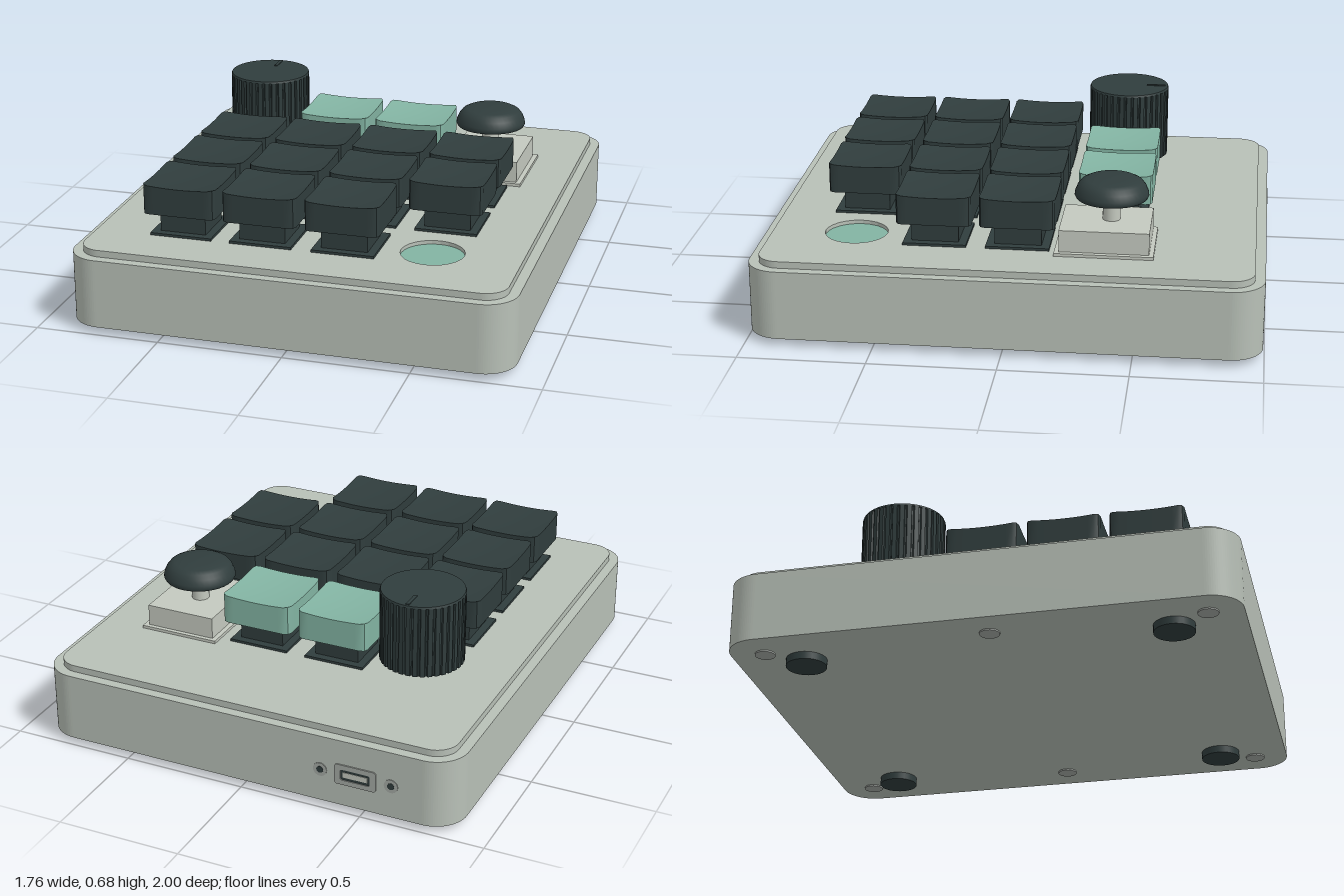
import * as THREE from 'three';

const material = (name, color, extra = {}) => Object.assign(new THREE.MeshStandardMaterial({ color, ...extra }), { name });

// Rounded rectangle centred on the origin
function roundedRect(w, h, r, Type = THREE.Shape) {
  const s = new Type();
  const x = w / 2 - r, y = h / 2 - r, q = Math.PI / 2;
  s.absarc(x, y, r, 0, q);
  s.absarc(-x, y, r, q, 2 * q);
  s.absarc(-x, -y, r, 2 * q, 3 * q);
  s.absarc(x, -y, r, 3 * q, 4 * q);
  s.closePath();
  return s;
}

// Extrudes a plan shape upward from y0 to y1
function slab(shape, y0, y1) {
  const g = new THREE.ExtrudeGeometry(shape, { depth: y1 - y0, bevelEnabled: false, curveSegments: 12 });
  return g.rotateX(-Math.PI / 2).translate(0, y0, 0);
}

// Key cap: a box with clipped plan corners and a shallow dished top
function keyCapGeometry(size, height) {
  const g = new THREE.BoxGeometry(size, height, size, 12, 1, 12);
  const p = g.attributes.position, h = size / 2, r = 0.025, dip = 0.016;
  for (let i = 0; i < p.count; i++) {
    let x = p.getX(i), z = p.getZ(i);
    if (p.getY(i) > 0) p.setY(i, height / 2 - dip * (1 - (x * x + z * z) / (2 * h * h)));
    const cx = Math.abs(x) - (h - r), cz = Math.abs(z) - (h - r);
    if (cx > 0.001 && cz > 0.001) {
      const k = r / Math.hypot(cx, cz);
      x = Math.sign(x) * (h - r + cx * k);
      z = Math.sign(z) * (h - r + cz * k);
    }
    p.setX(i, x);
    p.setZ(i, z);
  }
  g.computeVertexNormals();
  return g;
}

export function createModel() {
  const model = new THREE.Group();
  model.name = 'macroPad';

  const shell = material('shell grey', 0xb8c0b7);
  const dark = material('dark slate', 0x303d3d);
  const mint = material('mint', 0x83b4a3);
  const pale = material('pale grey', 0xc4c9bf);
  const metal = material('metal grey', 0xa5aaa5);

  const add = (name, geometry, mat, x = 0, y = 0, z = 0, parent = model) => {
    const mesh = new THREE.Mesh(geometry, mat);
    mesh.name = name;
    mesh.position.set(x, y, z);
    parent.add(mesh);
    return mesh;
  };

  const cols = [-0.49, -0.165, 0.165, 0.49];
  const rows = [-0.39, -0.033, 0.293, 0.622];

  // Case body and inset top plate with a round opening
  add('caseBody', slab(roundedRect(1.76, 1.99, 0.13), 0.03, 0.308), shell);
  const plate = roundedRect(1.68, 1.91, 0.09);
  plate.holes.push(new THREE.Path().absarc(cols[3], -rows[3], 0.125, 0, Math.PI * 2, true));
  add('topPlate', slab(plate, 0.308, 0.335), shell);
  add('roundTouchButton', new THREE.CylinderGeometry(0.125, 0.125, 0.012, 40), mint, cols[3], 0.314, rows[3]);

  // Keys on their switches
  const cap = keyCapGeometry(0.295, 0.12);
  const flange = new THREE.BoxGeometry(0.25, 0.01, 0.25);
  const housing = new THREE.BoxGeometry(0.185, 0.095, 0.185);
  rows.forEach((z, r) => cols.forEach((x, c) => {
    const edge = c === 0 || c === 3;
    if ((r === 0 && edge) || (r === 3 && c === 3)) return;
    const key = new THREE.Group();
    key.name = 'key';
    key.position.set(x, 0, z);
    model.add(key);
    add('switchFlange', flange, dark, 0, 0.34, 0, key);
    add('switchHousing', housing, dark, 0, 0.385, 0, key);
    add('keyCap', cap, r === 0 ? mint : dark, 0, 0.49, 0, key);
  }));

  // Ribbed rotary knob on a shaft, with a pointer mark
  const rim = [];
  const ribs = 36;
  for (let i = 0; i < ribs; i++) {
    for (const [t, radius] of [[0, 0.168], [0.6, 0.168], [0.7, 0.161], [0.9, 0.161]]) {
      const a = (i + t) / ribs * Math.PI * 2;
      rim.push(new THREE.Vector2(Math.cos(a) * radius, Math.sin(a) * radius));
    }
  }
  const knob = new THREE.Group();
  knob.name = 'knob';
  knob.position.set(cols[0], 0, rows[0]);
  model.add(knob);
  add('knobGrip', slab(new THREE.Shape(rim), 0.38, 0.672), dark, 0, 0, 0, knob);
  add('knobTop', new THREE.CylinderGeometry(0.165, 0.168, 0.008, 48), dark, 0, 0.676, 0, knob);
  add('knobPointer', new THREE.BoxGeometry(0.014, 0.004, 0.08), dark, 0, 0.681, -0.115, knob);
  add('knobShaft', new THREE.CylinderGeometry(0.06, 0.06, 0.06, 24), dark, 0, 0.36, 0, knob);

  // Thumb stick
  const stick = new THREE.Group();
  stick.name = 'thumbStick';
  stick.position.set(cols[3], 0, 0);
  model.add(stick);
  add('stickFlange', new THREE.BoxGeometry(0.33, 0.012, 0.385), pale, 0.01, 0.341, -0.372, stick);
  add('stickHousing', new THREE.BoxGeometry(0.29, 0.095, 0.35), pale, 0.01, 0.387, -0.372, stick);
  add('stickPost', new THREE.CylinderGeometry(0.035, 0.035, 0.1, 24), pale, 0, 0.48, rows[0], stick);
  const profile = [[0, 0.523], [0.125, 0.523], [0.14, 0.527], [0.145, 0.537], [0.143, 0.55],
    [0.134, 0.572], [0.12, 0.589], [0.1, 0.599], [0.06, 0.604], [0, 0.606]];
  const dome = new THREE.LatheGeometry(profile.map(([x, y]) => new THREE.Vector2(x, y)), 40);
  add('stickCap', dome, dark, 0, 0, rows[0], stick);

  // Rubber feet and underside screws
  const foot = new THREE.CylinderGeometry(0.08, 0.08, 0.032, 32);
  const screw = new THREE.CylinderGeometry(0.04, 0.04, 0.01, 24);
  for (const side of [-1, 1]) {
    for (const z of [-0.72, 0.72]) add('foot', foot, dark, side * 0.655, 0.016, z);
    for (const z of [-0.86, 0.03, 0.86]) add('screw', screw, metal, side * 0.74, 0.029, z);
  }

  // Rear connector: framed socket flanked by two small fasteners
  const frame = roundedRect(0.17, 0.085, 0.012);
  frame.holes.push(roundedRect(0.12, 0.045, 0.008, THREE.Path));
  const frameGeometry = new THREE.ExtrudeGeometry(frame, { depth: 0.006, bevelEnabled: false });
  add('portFrame', frameGeometry, metal, -0.48, 0.165, -1.0);
  add('portOpening', new THREE.BoxGeometry(0.12, 0.045, 0.003), dark, -0.48, 0.165, -0.995);
  add('portTongue', new THREE.BoxGeometry(0.1, 0.022, 0.003), pale, -0.48, 0.165, -0.997);
  const fastener = new THREE.CylinderGeometry(0.028, 0.028, 0.006, 20).rotateX(Math.PI / 2);
  const recess = new THREE.CylinderGeometry(0.014, 0.014, 0.006, 16).rotateX(Math.PI / 2);
  for (const side of [-1, 1]) {
    add('portFastener', fastener, metal, -0.48 + side * 0.145, 0.165, -0.995);
    add('fastenerRecess', recess, dark, -0.48 + side * 0.145, 0.165, -0.9965);
  }

  return model;
}
